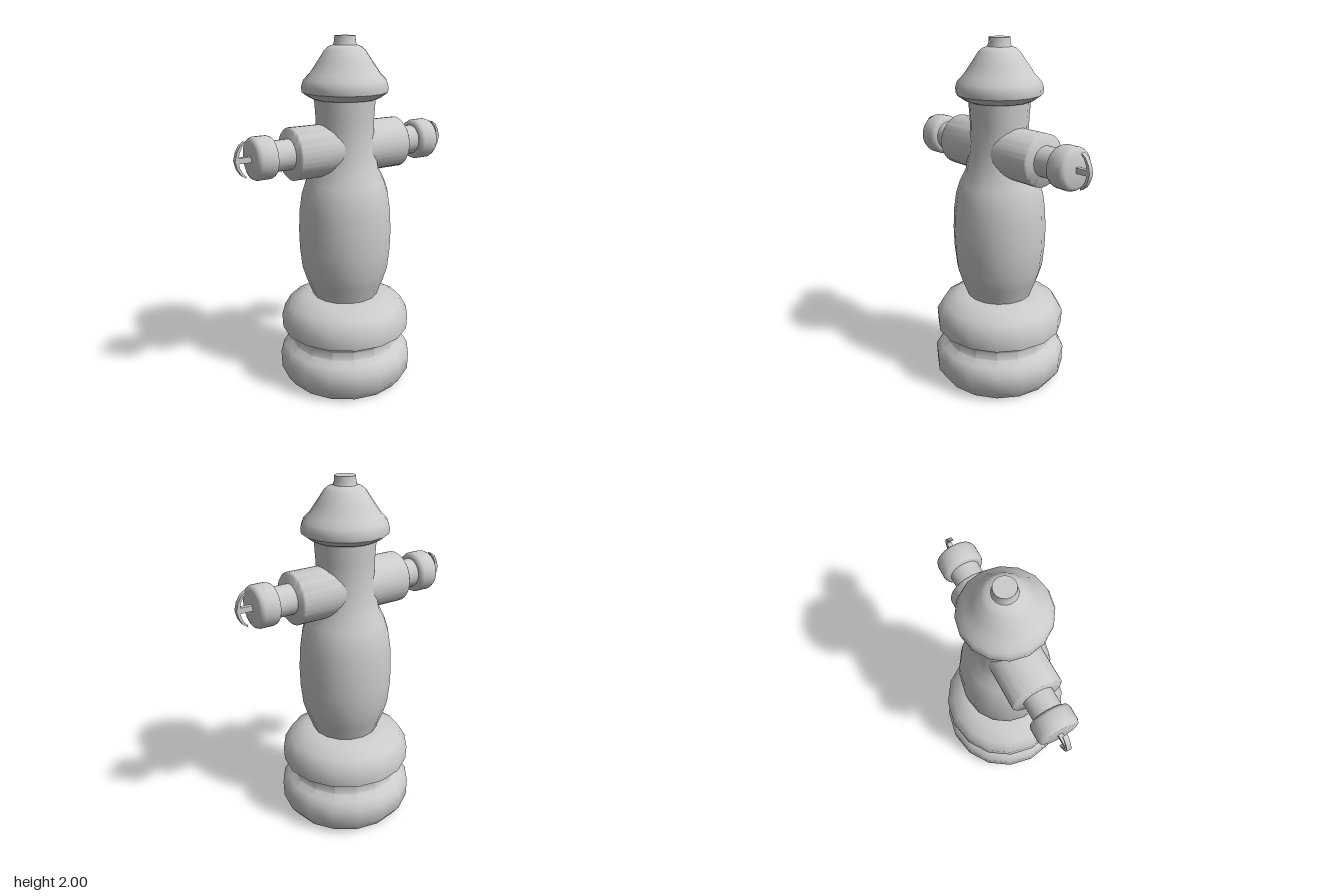
import * as THREE from 'three';
import { toCreasedNormals } from 'three/addons/utils/BufferGeometryUtils.js';

const material = new THREE.MeshStandardMaterial({ color: 0xcccccc });

function part(name, geometry) {
  const mesh = new THREE.Mesh(geometry, material);
  mesh.name = name;
  return mesh;
}

// Turned solid from [radius, height] pairs, listed bottom to top
function turned(profile, sides, crease = 0.8) {
  const points = profile.map(([r, y]) => new THREE.Vector2(r, y));
  return toCreasedNormals(new THREE.LatheGeometry(points, sides), crease);
}

// Side outlet pointing along +x, with its cap and crescent handle
function createOutlet(name) {
  const outlet = new THREE.Group();
  outlet.name = name;

  const lay = (geometry) => geometry.rotateZ(-Math.PI / 2);
  outlet.add(part('outletPipe', lay(turned(
    [[0, 0], [0.143, 0], [0.143, 0.341], [0.134, 0.35], [0, 0.35]], 32))));
  outlet.add(part('outletNeck', lay(turned(
    [[0, 0.3], [0.083, 0.3], [0.083, 0.47], [0, 0.47]], 32))));
  outlet.add(part('outletCap', lay(turned(
    [[0, 0.455], [0.092, 0.455], [0.108, 0.462], [0.115, 0.478],
      [0.115, 0.552], [0.108, 0.568], [0.092, 0.575], [0, 0.575]], 32))));

  // Handle stem
  const stem = part('handleStem', new THREE.BoxGeometry(0.09, 0.03, 0.026));
  stem.position.x = 0.609;
  outlet.add(stem);

  // Crescent grip, its tips curling back to the cap
  const outer = [[0.606, -0.096], [0.632, -0.078], [0.653, -0.043], [0.664, 0],
    [0.653, 0.043], [0.632, 0.078], [0.606, 0.096]];
  const inner = [[0.606, 0.085], [0.623, 0.07], [0.638, 0.039], [0.646, 0],
    [0.638, -0.039], [0.623, -0.07], [0.606, -0.085]];
  const shape = new THREE.Shape([...outer, ...inner].map(([x, y]) => new THREE.Vector2(x, y)));
  const grip = new THREE.ExtrudeGeometry(shape, { depth: 0.026, bevelEnabled: false });
  grip.translate(0, 0, -0.013);
  outlet.add(part('handleGrip', toCreasedNormals(grip, 0.6)));

  outlet.position.y = 1.395;
  return outlet;
}

export function createModel() {
  const model = new THREE.Group();
  model.name = 'hydrant';

  // Double-ringed foot
  model.add(part('base', turned([
    [0, 0], [0.339, 0], [0.384, 0.06], [0.388, 0.16], [0.358, 0.207],
    [0.318, 0.236], [0.31, 0.28], [0.328, 0.308], [0.372, 0.325], [0.376, 0.405],
    [0.335, 0.475], [0.25, 0.522], [0.18, 0.53], [0, 0.53],
  ], 16)));

  // Swelling barrel that narrows into the neck
  model.add(part('barrel', turned([
    [0.18, 0.5], [0.19, 0.53], [0.225, 0.62], [0.25, 0.7], [0.263, 0.82],
    [0.266, 0.93], [0.26, 1.05], [0.247, 1.14], [0.225, 1.21], [0.19, 1.28],
    [0.172, 1.38], [0.162, 1.47], [0.163, 1.56], [0.171, 1.68],
  ], 16)));

  // Bell-shaped bonnet and top nut
  model.add(part('bonnet', turned([
    [0, 1.668], [0.18, 1.668], [0.2, 1.678], [0.237, 1.705], [0.24, 1.735],
    [0.228, 1.77], [0.195, 1.803], [0.152, 1.865], [0.112, 1.925], [0.09, 1.943],
    [0.065, 1.952], [0.059, 1.968], [0.057, 2], [0, 2],
  ], 16)));

  // Matching outlets on both sides
  model.add(createOutlet('leftOutlet'));
  const right = createOutlet('rightOutlet');
  right.rotation.y = Math.PI;
  model.add(right);

  return model;
}
